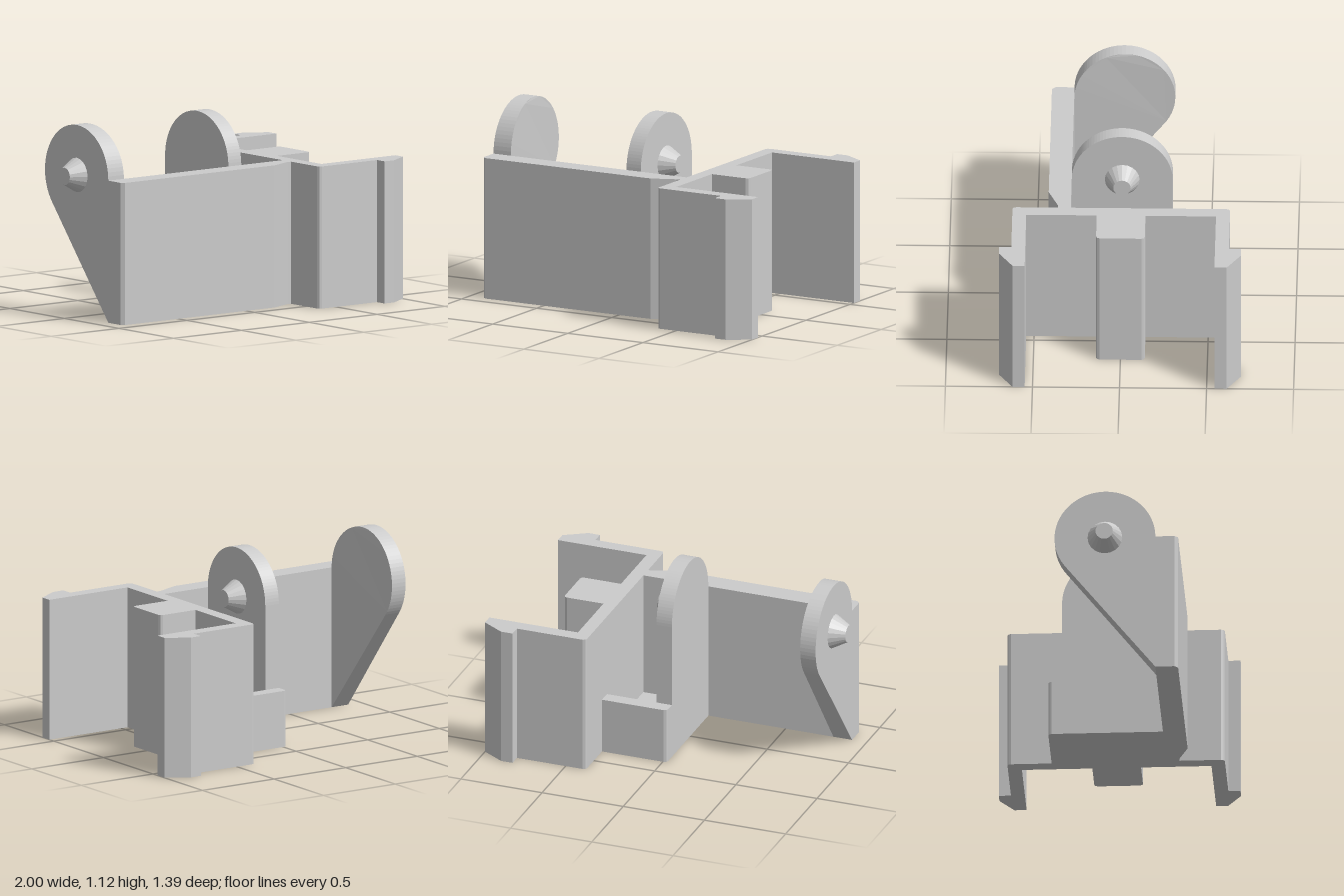
import * as THREE from 'three';

const material = new THREE.MeshStandardMaterial({ color: 0xcccccc, flatShading: true });
const HEIGHT = 0.825;  // height of the upright walls, also the pivot axis
const EAR_R = 0.29;

function add(group, name, geometry) {
  const mesh = new THREE.Mesh(geometry, material);
  mesh.name = name;
  group.add(mesh);
  return mesh;
}

// Upright prism from an outline of [x, z] points
function prism(points, height) {
  const shape = new THREE.Shape(points.map(([x, z]) => new THREE.Vector2(x, z)));
  return new THREE.ExtrudeGeometry(shape, { depth: height, bevelEnabled: false })
    .rotateX(Math.PI / 2).translate(0, height, 0);
}

// Plate across x, drawn in (-z, y)
function ear(shape, x, thickness) {
  return new THREE.ExtrudeGeometry(shape, { depth: thickness, bevelEnabled: false, curveSegments: 24 })
    .rotateY(Math.PI / 2).translate(x, 0, 0);
}

// Tapered pivot stud; dir is the side of x it points to
function stud(x, dir) {
  return new THREE.CylinderGeometry(0.05, 0.1, 0.09, 20)
    .rotateZ(-dir * Math.PI / 2).translate(x + dir * 0.045, HEIGHT, 0);
}

export function createModel() {
  const group = new THREE.Group();

  // Side plate, cross wall, two hooked arms and the central tab in one outline
  const half = [
    [0.375, 0.605], [0.381, 0.619], [0.395, 0.625], [0.8, 0.625], [0.8, 0.695], [0.87, 0.695],
    [1, 0.615], [1, 0.545], [0.455, 0.545], [0.455, 0.14], [0.68, 0.14], [0.694, 0.134], [0.7, 0.12],
  ];
  const mirrored = half.map(([x, z]) => [x, -z]).reverse();
  add(group, 'clipBody', prism([
    [-0.91, 0.29], [-0.91, 0.4], [-0.89, 0.42], [0.21, 0.42], [0.35, 0.365], [0.375, 0.365],
    ...half, ...mirrored, [0.375, 0.29],
  ], HEIGHT));

  // Outer ear: disc whose lower edge runs tangentially down to the plate's foot
  const slant = 2 * Math.atan(EAR_R / HEIGHT);
  const outer = new THREE.Shape();
  outer.moveTo(-EAR_R, 0);
  outer.lineTo(-EAR_R + HEIGHT * Math.sin(slant), HEIGHT * Math.cos(slant));
  outer.absarc(0, HEIGHT, EAR_R, -slant, Math.PI, false);
  outer.closePath();
  const outerGeometry = ear(outer, -0.91, 0.095);
  // Inner face thickens slightly towards the plate
  const pos = outerGeometry.attributes.position;
  for (let i = 0; i < pos.count; i++) {
    if (pos.getX(i) > -0.85) pos.setX(i, pos.getX(i) + 0.02 * Math.max(0, pos.getZ(i)) / EAR_R);
  }
  outerGeometry.computeVertexNormals();
  add(group, 'outerEar', outerGeometry);
  add(group, 'outerStud', stud(-0.91, -1));

  // Inner ear: round top on a straight upright
  const inner = new THREE.Shape();
  inner.moveTo(-EAR_R, 0);
  inner.lineTo(EAR_R, 0);
  inner.absarc(0, HEIGHT, EAR_R, 0, Math.PI, false);
  inner.closePath();
  add(group, 'innerEar', ear(inner, -0.025, 0.095));
  add(group, 'innerStud', stud(0.07, 1));

  // Low rear lip and floor closing the pocket between inner ear and wall
  add(group, 'rearLip', prism([
    [-0.025, -0.29], [0.375, -0.29], [0.375, -0.37], [-0.005, -0.37], [-0.019, -0.364], [-0.025, -0.35],
  ], 0.33));
  add(group, 'pocketFloor', new THREE.BoxGeometry(0.305, 0.08, 0.58).translate(0.2225, 0.04, 0));

  return group;
}
